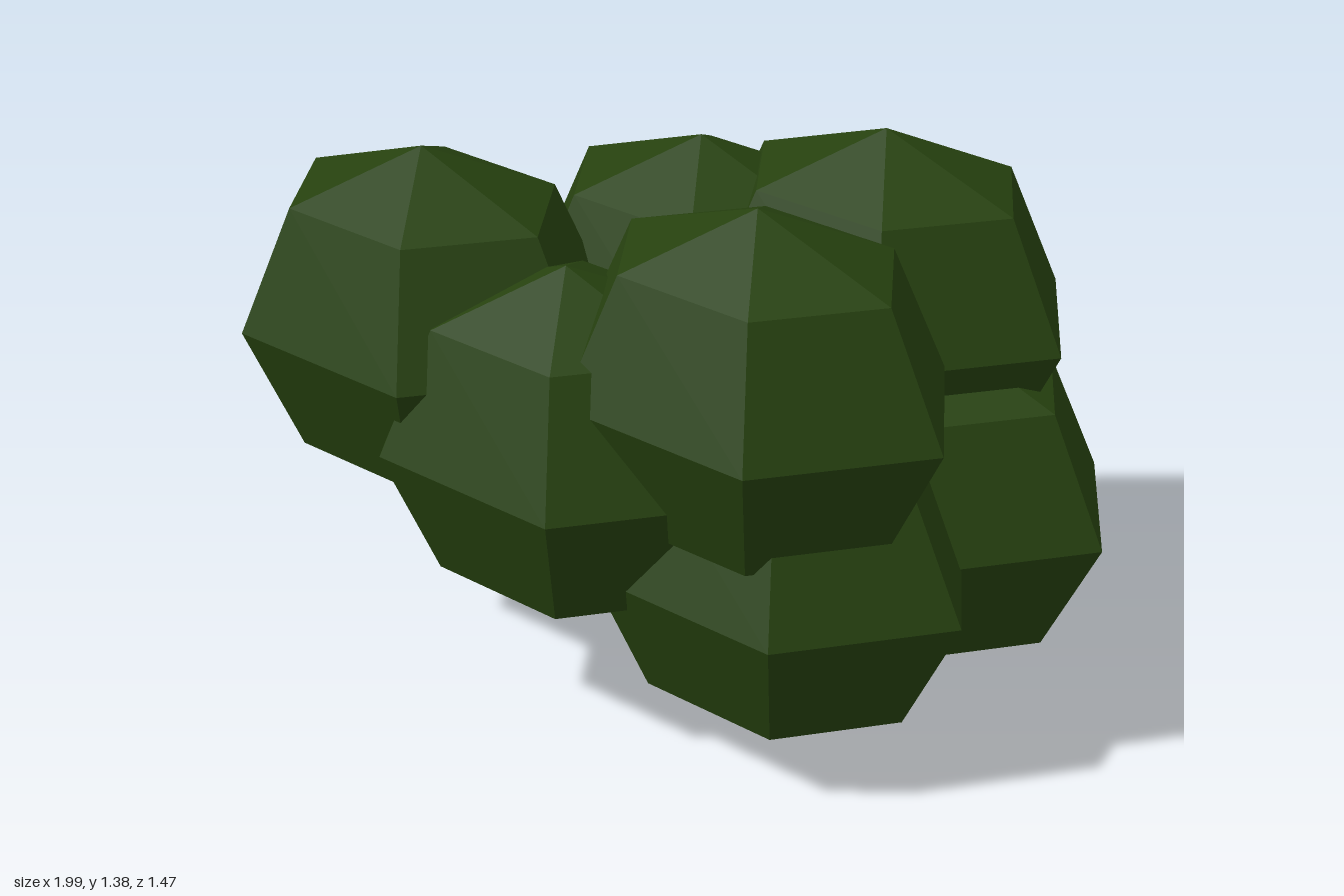
import * as THREE from 'three';

// Low-poly bush: overlapping clumps of foliage, all the same faceted ellipsoid
export function createModel() {
  const group = new THREE.Group();
  group.name = 'bush';

  const leafGreen = new THREE.MeshStandardMaterial({ color: 0x26410f, flatShading: true });
  leafGreen.name = 'leafGreen';

  // Six-sided clump, wider than it is tall or deep
  const clump = new THREE.SphereGeometry(1, 6, 4);
  clump.scale(0.518, 0.432, 0.414);

  const clumps = [
    // upper clumps
    ['upperFrontRightClump', -0.48, 0.91, 0.37],
    ['upperFrontLeftClump', 0.408, 0.952, 0.225],
    ['upperBackLeftClump', 0.30, 0.93, -0.38],
    ['upperBackRightClump', -0.13, 0.852, -0.22],
    // middle clump
    ['middleFrontClump', -0.025, 0.74, 0.373],
    // lower clumps
    ['lowerFrontLeftClump', 0.428, 0.5, 0.155],
    ['lowerBackLeftClump', 0.478, 0.508, -0.328],
    ['lowerBackRightClump', -0.303, 0.434, -0.1],
  ];

  for (const [name, x, y, z] of clumps) {
    const mesh = new THREE.Mesh(clump, leafGreen);
    mesh.name = name;
    mesh.position.set(x, y, z);
    group.add(mesh);
  }
  return group;
}
